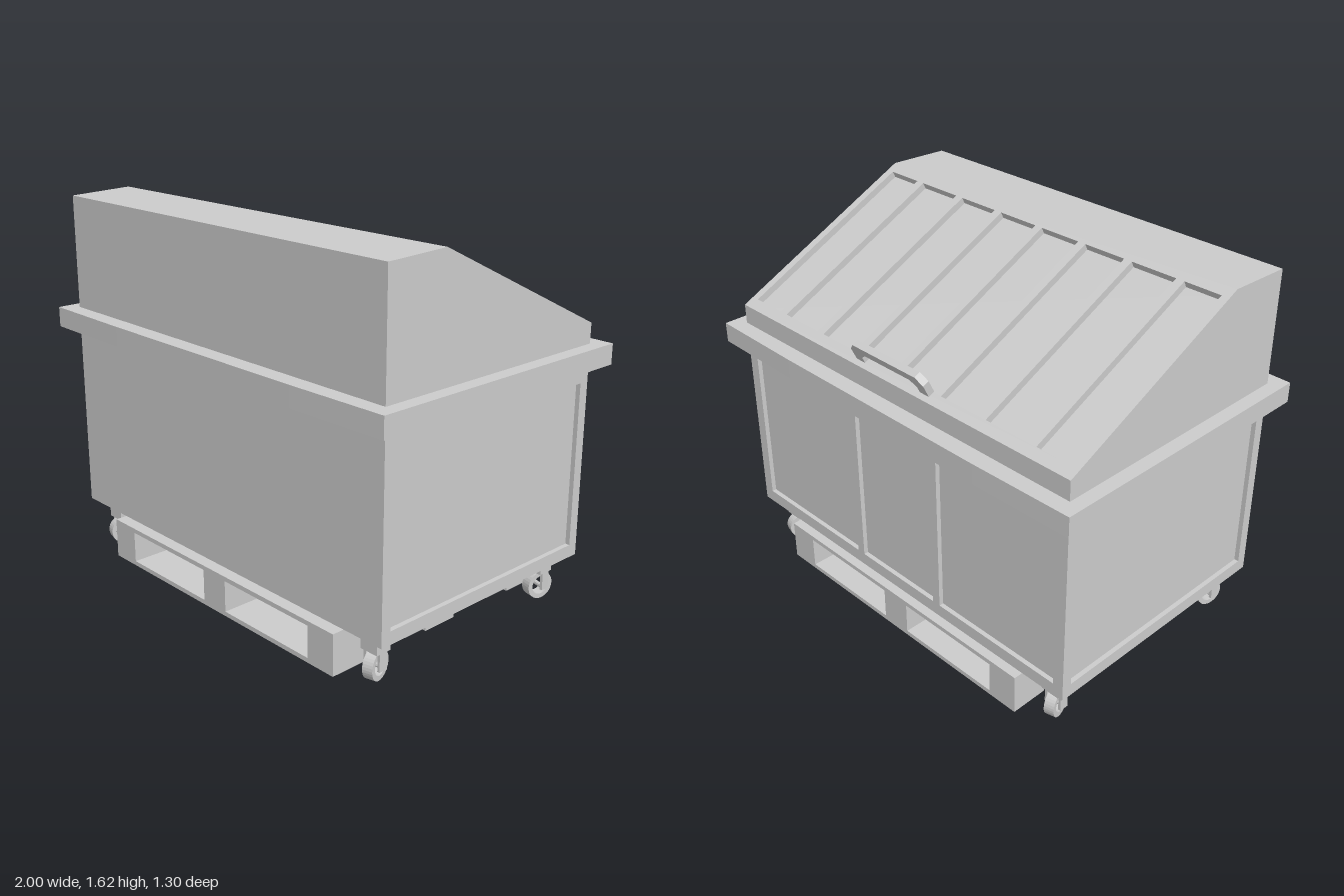
import * as THREE from 'three';

const material = new THREE.MeshStandardMaterial({ color: 0xcccccc, flatShading: true });

function add(parent, name, geometry, x = 0, y = 0, z = 0) {
  const mesh = new THREE.Mesh(geometry, material);
  mesh.name = name;
  mesh.position.set(x, y, z);
  parent.add(mesh);
  return mesh;
}

// Box given by its limits on each axis
function box(parent, name, x0, x1, y0, y1, z0, z1) {
  return add(parent, name, new THREE.BoxGeometry(x1 - x0, y1 - y0, z1 - z0),
    (x0 + x1) / 2, (y0 + y1) / 2, (z0 + z1) / 2);
}

const outline = (points) => new THREE.Shape(points.map(([x, y]) => new THREE.Vector2(x, y)));
const corners = (x0, x1, y0, y1) => [[x0, y0], [x1, y0], [x1, y1], [x0, y1]];
const extrude = (shape, depth) =>
  new THREE.ExtrudeGeometry(shape, { depth, bevelEnabled: false, curveSegments: 16 });

// Rectangle with rectangular windows
function windowed(rect, windows) {
  const shape = outline(corners(...rect));
  windows.forEach((w) => shape.holes.push(new THREE.Path(outline(corners(...w)).getPoints())));
  return shape;
}

// Extrudes a (z, y) profile from x0 to x1
const alongX = (shape, x0, x1) =>
  extrude(shape, x1 - x0).rotateY(-Math.PI / 2).translate(x1, 0, 0);

function makeBody() {
  const body = new THREE.Group();
  body.name = 'body';
  box(body, 'bodyCore', -0.92, 0.92, 0.205, 1.03, -0.555, 0.575);
  // Frames around the sunken side and back panels
  const side = windowed([-0.575, 0.575, 0.205, 1.03], [[-0.53, 0.53, 0.26, 0.96]]);
  add(body, 'leftFrame', alongX(side, 0.92, 0.94));
  add(body, 'rightFrame', alongX(side, -0.94, -0.92));
  const back = windowed([-0.92, 0.92, 0.205, 1.03],
    [[-0.89, -0.26], [-0.22, 0.22], [0.26, 0.89]].map(([a, b]) => [a, b, 0.26, 0.96]));
  add(body, 'backFrame', extrude(back, 0.02), 0, 0, -0.575);
  // Slightly bowed rim
  const rim = outline([[-1, -0.643], [-0.54, -0.65], [0.54, -0.65], [1, -0.643],
    [1, 0.643], [0.54, 0.65], [-0.54, 0.65], [-1, 0.643]]);
  add(body, 'rim', extrude(rim, 0.087).rotateX(-Math.PI / 2), 0, 1.028, 0);
  return body;
}

function makeLid() {
  const lid = new THREE.Group();
  lid.name = 'lid';
  const core = outline([[-0.575, 1.11], [0.575, 1.11], [0.575, 1.605], [0.29, 1.615],
    [0.303, 1.588], [-0.562, 1.173], [-0.575, 1.2]]);
  add(lid, 'lidCore', alongX(core, -0.94, 0.94));

  // Sloping frame: local y runs up the slope, local z points out of it
  const slope = new THREE.Group();
  slope.name = 'slope';
  const up = new THREE.Vector3(0, 0.415, 0.865);
  const length = up.length();
  up.normalize();
  const out = new THREE.Vector3(0, up.z, -up.y);
  slope.quaternion.setFromRotationMatrix(
    new THREE.Matrix4().makeBasis(new THREE.Vector3(-1, 0, 0), up, out));
  slope.position.set(0, 1.2, -0.575);
  lid.add(slope);
  const windows = [];
  for (const [a, b] of [[0.018, 0.215], [0.252, 0.45], [0.488, 0.7], [0.738, 0.905]])
    windows.push([a, b, 0.05, 0.91], [-b, -a, 0.05, 0.91]);
  add(slope, 'ribbedPanel', extrude(windowed([-0.94, 0.94, 0, length], windows), 0.03), 0, 0, -0.03);

  // Grip with chamfered corners, standing on the lower edge
  const grip = outline([[-0.21, 0], [-0.21, 0.06], [-0.18, 0.095], [0.18, 0.095], [0.21, 0.06],
    [0.21, 0], [0.16, 0], [0.16, 0.03], [0.13, 0.055], [-0.13, 0.055], [-0.16, 0.03], [-0.16, 0]]);
  add(slope, 'handle', extrude(grip, 0.03).rotateX(Math.PI / 2), 0, 0.055, 0);
  return lid;
}

function makeCaster(x, z, turn) {
  const caster = new THREE.Group();
  caster.name = 'caster';
  caster.position.set(x, 0, z);
  box(caster, 'bracket', -0.042, 0.042, 0.125, 0.205, -0.036, 0.036);
  for (const s of [-1, 1])
    box(caster, 'forkCheek', s * 0.036 - 0.006, s * 0.036 + 0.006, 0.05, 0.13, -0.02, 0.02);
  const wheel = new THREE.Group();
  wheel.name = 'wheel';
  wheel.position.y = 0.062;
  wheel.rotation.y = turn;
  const ring = new THREE.Shape().absarc(0, 0, 0.06, 0, Math.PI * 2);
  ring.holes.push(new THREE.Path().absarc(0, 0, 0.04, 0, Math.PI * 2, true));
  add(wheel, 'tyre', alongX(ring, -0.022, 0.022));
  add(wheel, 'axle', new THREE.CylinderGeometry(0.01, 0.01, 0.08, 10).rotateZ(Math.PI / 2));
  caster.add(wheel);
  return caster;
}

function makePallet() {
  const pallet = new THREE.Group();
  pallet.name = 'pallet';
  for (const z of [-0.51, 0, 0.51]) {
    box(pallet, 'bottomBoard', -0.71, 0.71, 0, 0.02, z - 0.085, z + 0.085);
    for (const x of [-0.64, 0, 0.64])
      box(pallet, 'block', x - 0.07, x + 0.07, 0.02, 0.138, z - 0.085, z + 0.085);
  }
  for (const x of [-0.64, 0, 0.64])
    box(pallet, 'crossBoard', x - 0.07, x + 0.07, 0.138, 0.158, -0.595, 0.595);
  for (const z of [-0.51, -0.25, 0, 0.25, 0.51])
    box(pallet, 'deckBoard', -0.71, 0.71, 0.158, 0.178, z - 0.085, z + 0.085);
  return pallet;
}

function makeSupport() {
  const support = new THREE.Group();
  support.name = 'centreSupport';
  const ring = windowed([-0.3, 0.3, -0.292, 0.292], [[-0.2, 0.2, -0.19, 0.19]]);
  add(support, 'baseRing', extrude(ring, 0.066).rotateX(-Math.PI / 2), 0, 0.004, 0);
  box(support, 'basePlate', -0.2, 0.2, 0.055, 0.07, -0.19, 0.19);
  for (const sx of [-1, 1]) for (const sz of [-1, 1])
    add(support, 'post', new THREE.BoxGeometry(0.07, 0.135, 0.07), sx * 0.265, 0.1375, sz * 0.257);
  add(support, 'column', new THREE.CylinderGeometry(0.08, 0.08, 0.135, 24), -0.1, 0.1375, -0.13);
  // Slanted brace
  const brace = outline([[0.05, 0.205], [0.1, 0.205], [0.225, 0.09], [0.225, 0.07], [0.19, 0.07]]);
  add(support, 'brace', extrude(brace, 0.06), 0, 0, 0.12);
  return support;
}

export function createModel() {
  const model = new THREE.Group();
  model.name = 'wheeledContainer';
  model.add(makeBody(), makeLid(), makePallet(), makeSupport());
  for (const s of [-1, 1]) {
    model.add(makeCaster(s * 0.825, 0.487, s * 0.25));
    model.add(makeCaster(s * 0.825, -0.48, -s * 0.25));
  }
  return model;
}
